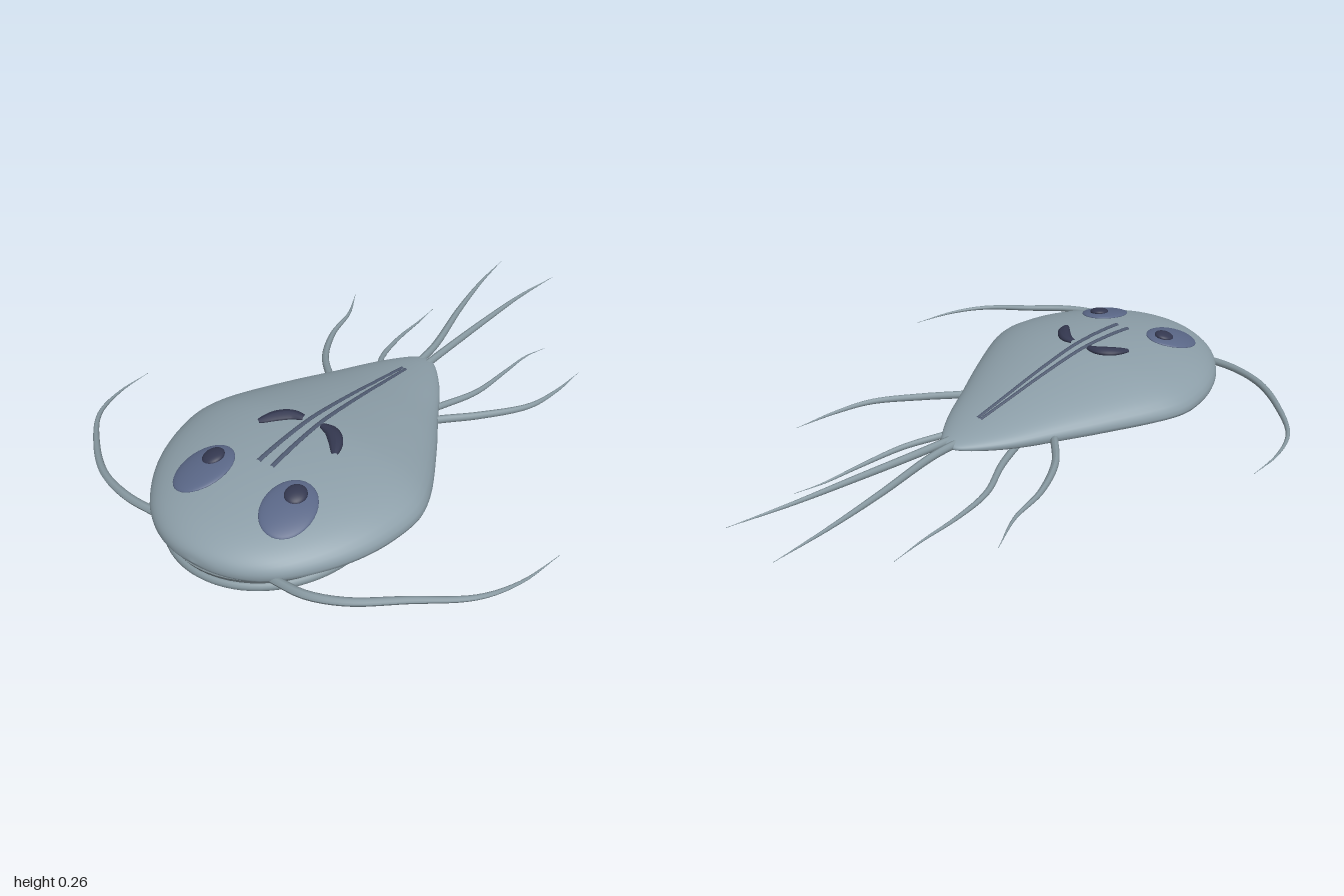
import * as THREE from 'three';

const CX = -0.018; // body centre line
const mat = (name, color) => Object.assign(new THREE.MeshStandardMaterial({ color }), { name });

// Body stations: z, half width, top height
const stations = [
  [0.995, 0, 0.125], [0.985, 0.085, 0.155], [0.957, 0.165, 0.178], [0.9, 0.25, 0.202], [0.8, 0.335, 0.225],
  [0.7, 0.39, 0.24], [0.6, 0.421, 0.248], [0.49, 0.433, 0.249], [0.4, 0.411, 0.244], [0.2, 0.31, 0.21],
  [0.05, 0.223, 0.178], [-0.1, 0.137, 0.146], [-0.2, 0.06, 0.123], [-0.225, 0.03, 0.114], [-0.232, 0, 0.106],
];
const profile = new THREE.CatmullRomCurve3(stations.map(s => new THREE.Vector3(...s)), false, 'centripetal')
  .getPoints(70);
const midY = z => 0.104 + 0.021 * THREE.MathUtils.smoothstep(z, -0.23, 0.5);

// Height of the upper body surface
function surfaceY(x, z) {
  let i = profile.findIndex(p => p.x <= z);
  i = Math.max(1, i);
  const a = profile[i - 1], b = profile[i];
  const p = a.clone().lerp(b, (z - a.x) / (b.x - a.x));
  const r = Math.min(1, Math.abs(x - CX) / p.y);
  return midY(z) + (p.z - midY(z)) * Math.sqrt(1 - r * r);
}

// Lofted teardrop body: domed above, shallow and flat below
function bodyGeometry() {
  const N = 48, pos = [], idx = [];
  profile.forEach((p, i) => {
    const m = midY(p.x), depth = 0.045 * Math.min(1, p.y / 0.2);
    for (let j = 0; j < N; j++) {
      const t = (j / N) * Math.PI * 2, c = Math.cos(t), s = Math.sin(t);
      const y = s >= 0 ? m + Math.max(0, p.z - m) * s : m - depth * Math.pow(-s, 0.7);
      pos.push(CX + p.y * c, y, p.x);
      if (i < profile.length - 1) {
        const a = i * N + j, b = i * N + (j + 1) % N;
        idx.push(a, a + N, b, b, a + N, b + N);
      }
    }
  });
  const g = new THREE.BufferGeometry();
  g.setAttribute('position', new THREE.Float32BufferAttribute(pos, 3));
  g.setIndex(idx);
  g.computeVertexNormals();
  return g;
}

// Tube whose radius follows a rule along its length
function taperedTube(points, radius, taper, flat = 1) {
  const curve = new THREE.CatmullRomCurve3(points.map(p => new THREE.Vector3(...p)));
  const n = 32, k = 10, g = new THREE.TubeGeometry(curve, n, radius, k);
  const pos = g.attributes.position, v = new THREE.Vector3();
  for (let i = 0; i <= n; i++) {
    const c = curve.getPointAt(i / n), s = taper(i / n);
    for (let j = 0; j <= k; j++) {
      const q = i * (k + 1) + j;
      v.fromBufferAttribute(pos, q).sub(c).multiplyScalar(s);
      v.y *= flat;
      v.add(c);
      pos.setXYZ(q, v.x, v.y, v.z);
    }
  }
  g.computeVertexNormals();
  return g;
}

// Flattened oval that follows the body surface
function drapedOval(x, z, rx, rz, ry, tilt, lift) {
  const g = new THREE.SphereGeometry(1, 32, 20).scale(rx, ry, rz).rotateY(tilt).translate(x, 0, z);
  const pos = g.attributes.position;
  for (let i = 0; i < pos.count; i++) {
    pos.setY(i, pos.getY(i) + lift + surfaceY(pos.getX(i), pos.getZ(i)));
  }
  g.computeVertexNormals();
  return g;
}

export function createModel() {
  const model = new THREE.Group();
  const skin = mat('skin grey', 0x8d9fa9);
  const whip = mat('flagellum grey', 0x86979f);
  const under = mat('disc grey', 0x7a888f);
  const blue = mat('nucleus blue', 0x5a6787);
  const dark = mat('dark indigo', 0x343850);
  const slate = mat('rod slate', 0x4f5a70);
  const add = (name, geometry, material) => {
    const m = new THREE.Mesh(geometry, material);
    m.name = name;
    model.add(m);
    return m;
  };

  add('body', bodyGeometry(), skin);

  // Oval sucking disc with raised rim
  add('ventralDisc', new THREE.CylinderGeometry(1, 0.95, 0.035, 64), under)
    .position.set(CX, 0.072, 0.615);
  model.children.at(-1).scale.set(0.335, 1, 0.365);
  const rim = [];
  for (let i = 0; i < 40; i++) {
    const t = (i / 40) * Math.PI * 2;
    rim.push(new THREE.Vector3(CX + 0.32 * Math.cos(t), 0.057, 0.615 + 0.352 * Math.sin(t)));
  }
  add('discRim', new THREE.TubeGeometry(new THREE.CatmullRomCurve3(rim, true), 80, 0.015, 10, true), whip);

  // Four pairs of whip-like flagella
  const flagella = {
    rightFrontFlagellum: [[-0.22, 0.11, 0.89], [-0.37, 0.115, 0.89], [-0.51, 0.114, 0.85], [-0.65, 0.107, 0.75],
      [-0.76, 0.1, 0.63], [-0.8, 0.093, 0.5], [-0.805, 0.086, 0.36]],
    leftFrontFlagellum: [[0.2, 0.11, 0.91], [0.31, 0.115, 0.912], [0.42, 0.114, 0.87], [0.55, 0.108, 0.77],
      [0.7, 0.1, 0.65], [0.77, 0.094, 0.53], [0.81, 0.086, 0.37]],
    rightRearFlagellum: [[-0.19, 0.11, 0.1], [-0.24, 0.107, 0.045], [-0.33, 0.1, -0.05], [-0.405, 0.093, -0.2],
      [-0.44, 0.088, -0.35], [-0.505, 0.083, -0.485]],
    leftRearFlagellum: [[0.16, 0.11, 0.1], [0.205, 0.107, 0.045], [0.3, 0.1, -0.055], [0.41, 0.093, -0.2],
      [0.445, 0.088, -0.33], [0.46, 0.083, -0.485]],
    rightVentralFlagellum: [[-0.07, 0.075, 0.24], [-0.09, 0.055, 0.08], [-0.145, 0.038, -0.1], [-0.22, 0.027, -0.25],
      [-0.245, 0.019, -0.4], [-0.25, 0.011, -0.55], [-0.26, 0.003, -0.67]],
    leftVentralFlagellum: [[0.035, 0.075, 0.24], [0.06, 0.055, 0.08], [0.125, 0.038, -0.1], [0.18, 0.027, -0.25],
      [0.2, 0.019, -0.43], [0.212, 0.011, -0.57], [0.24, 0.003, -0.665]],
    rightTailFlagellum: [[-0.028, 0.108, -0.17], [-0.034, 0.108, -0.31], [-0.085, 0.11, -0.57], [-0.118, 0.11, -0.79],
      [-0.135, 0.107, -0.995]],
    leftTailFlagellum: [[0.0, 0.108, -0.17], [0.012, 0.108, -0.33], [0.035, 0.11, -0.57], [0.06, 0.11, -0.79],
      [0.098, 0.107, -0.995]],
  };
  for (const [name, pts] of Object.entries(flagella)) {
    add(name, taperedTube(pts, 0.0135, t => Math.max(0.06, 1 - Math.pow(t, 2.2))), whip);
  }

  // Nuclei, crescents and rods, mirrored about the body centre line
  for (const [side, s] of [['left', 1], ['right', -1]]) {
    const X = d => CX + s * d;
    add(side + 'Nucleus', drapedOval(X(0.158), 0.752, 0.08, 0.102, 0.013, s * 0.15, 0.001), blue);
    add(side + 'Nucleolus', drapedOval(X(0.154), 0.712, 0.033, 0.036, 0.014, 0, 0.012), dark);

    const crescent = [[0.035, 0.425], [0.075, 0.433], [0.112, 0.462], [0.146, 0.513]]
      .map(([d, z]) => [X(d), surfaceY(X(d), z) + 0.004, z]);
    add(side + 'Crescent', taperedTube(crescent, 0.024,
      t => 0.12 + 0.88 * Math.pow(Math.sin(Math.PI * (0.08 + 0.87 * t)), 0.7), 0.6), dark);

    const rod = [];
    for (let i = 0; i <= 12; i++) {
      const t = i / 12, z = 0.66 - 0.745 * t, x = X(0.025 - 0.018 * t);
      rod.push([x, surfaceY(x, z) + 0.001, z]);
    }
    add(side + 'Rod', taperedTube(rod, 0.008, t => 1 - 0.3 * t, 0.7), slate);
  }
  return model;
}
